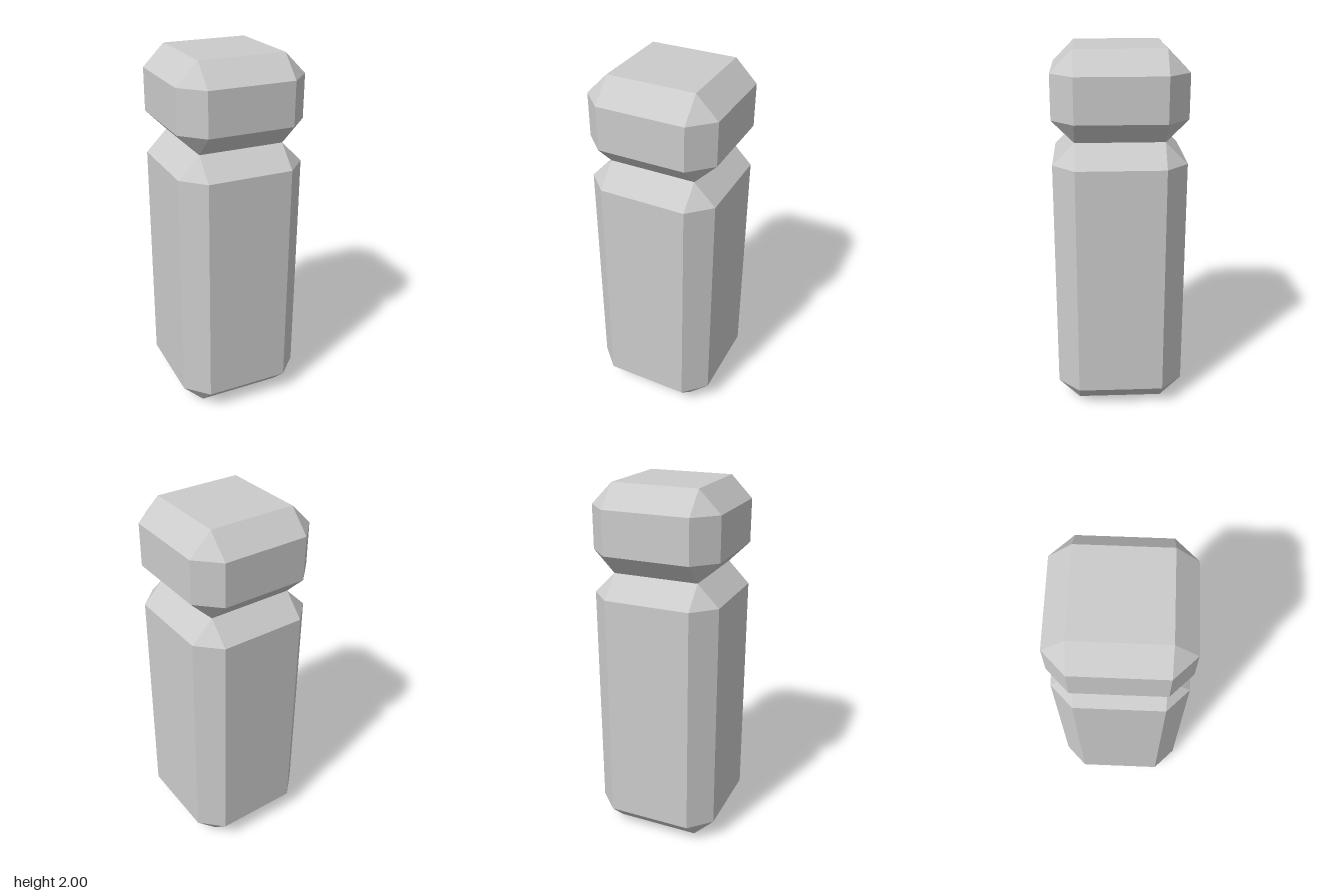
import * as THREE from 'three';
import { ConvexGeometry } from 'three/addons/geometries/ConvexGeometry.js';

const U = 2 / 17; // chamfer size; every dimension is a multiple of it

// Box with all edges chamfered, giving triangular corner facets
function chamferedBox(width, height, depth, chamfer) {
  const half = [width / 2, height / 2, depth / 2];
  const points = [];
  for (const sx of [-1, 1]) for (const sy of [-1, 1]) for (const sz of [-1, 1]) {
    for (let axis = 0; axis < 3; axis++) {
      // each corner splits into three points, one on each adjoining face
      const [x, y, z] = half.map((h, i) => (i === axis ? h : h - chamfer));
      points.push(new THREE.Vector3(sx * x, sy * y, sz * z));
    }
  }
  return new ConvexGeometry(points);
}

export function createModel() {
  const model = new THREE.Group();
  model.name = 'figure';
  const material = new THREE.MeshStandardMaterial({ color: 0xcccccc, flatShading: true });

  const addBlock = (name, bottom, top) => {
    const mesh = new THREE.Mesh(chamferedBox(6 * U, (top - bottom) * U, 6 * U, U), material);
    mesh.name = name;
    mesh.position.y = ((bottom + top) / 2) * U;
    model.add(mesh);
  };

  addBlock('body', 0, 13); // tall lower block
  addBlock('head', 13, 17); // short block resting on the body

  return model;
}
